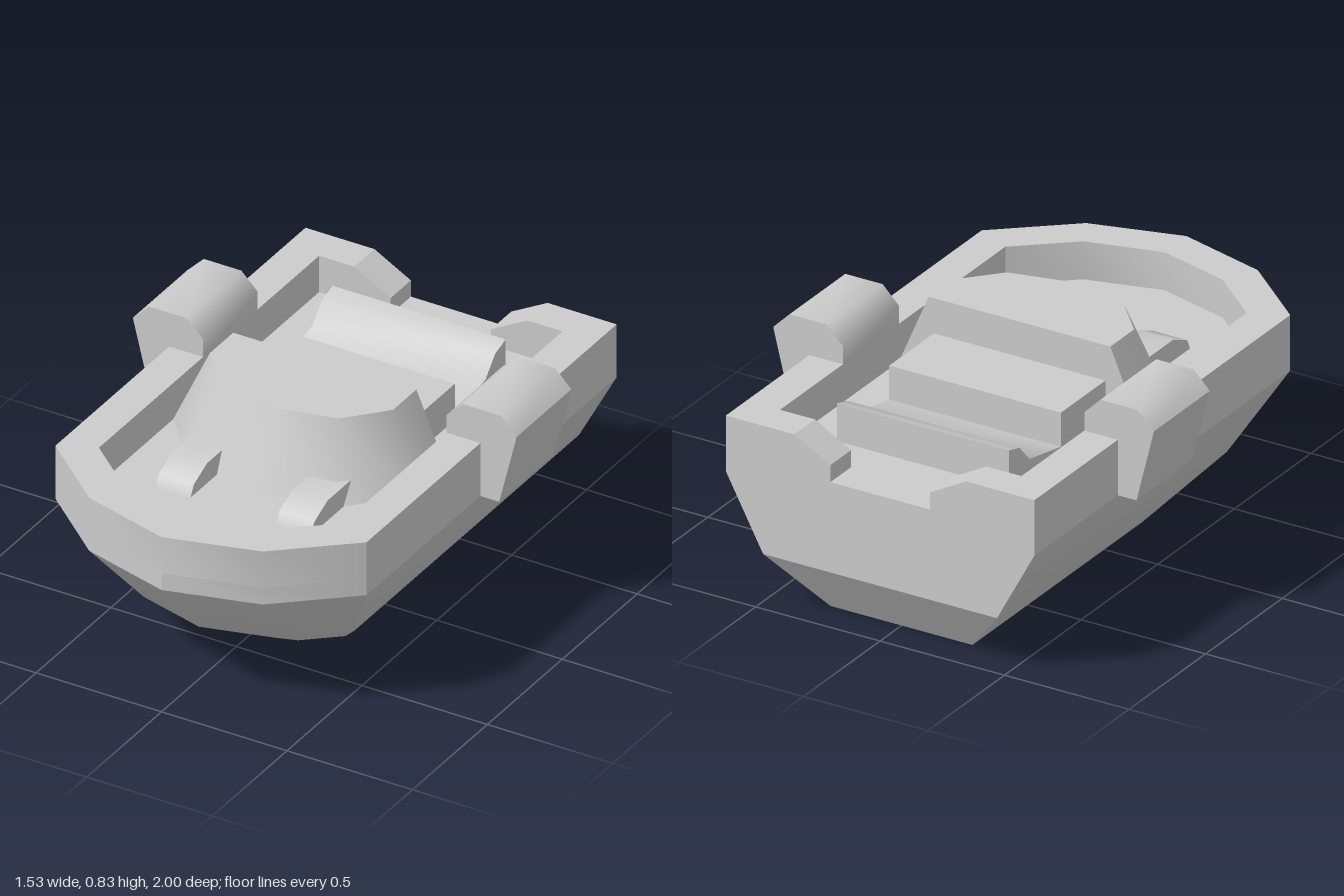
import * as THREE from 'three';
import { toCreasedNormals } from 'three/addons/utils/BufferGeometryUtils.js';

const RAIL = 0.7, DECK = 0.555;
const material = new THREE.MeshStandardMaterial({ color: 0xcccccc });

function part(name, geometry, crease = 0.8) {
  const mesh = new THREE.Mesh(toCreasedNormals(geometry, crease), material);
  mesh.name = name;
  return mesh;
}

// Boat-shaped plan outline as [x, z], from one stern corner round the bow to the other
function outline(w, stern, side, xm, zm, bow) {
  return [[w, stern], [w, side], [xm, zm], [0, bow], [-xm, zm], [-w, side], [-w, stern]];
}

// Closed solid through a stack of outlines: rings = [[y, outline], ...] from low to high
function loft(rings) {
  const n = rings[0][1].length, positions = [], index = [];
  for (const [y, points] of rings) for (const [x, z] of points) positions.push(x, y, z);
  for (let r = 0; r < rings.length - 1; r++) {
    for (let j = 0; j < n; j++) {
      const a = r * n + j, b = r * n + (j + 1) % n;
      index.push(a, a + n, b + n, a, b + n, b);
    }
  }
  const top = (rings.length - 1) * n;
  for (let k = 1; k < n - 1; k++) {
    index.push(0, k, k + 1, top, top + k + 1, top + k);
  }
  const g = new THREE.BufferGeometry();
  g.setAttribute('position', new THREE.Float32BufferAttribute(positions, 3));
  g.setIndex(index);
  return g;
}

function extrude(points, depth) {
  const shape = new THREE.Shape(points.map(([x, y]) => new THREE.Vector2(x, y)));
  return new THREE.ExtrudeGeometry(shape, { depth, bevelEnabled: false });
}

// Prism along z from an [x, y] profile
const prismZ = (profile, z0, z1) => extrude(profile, z1 - z0).translate(0, 0, z0);

// Prism along x from a [z, y] profile
const prismX = (profile, x0, x1) =>
  extrude(profile.map(([z, y]) => [-z, y]), x1 - x0).rotateY(Math.PI / 2).translate(x0, 0, 0);

export function createModel() {
  const boat = new THREE.Group();
  boat.name = 'boat';

  // Hull up to deck level
  const rim = outline(0.62, -1, 0.67, 0.345, 0.905, 1);
  boat.add(part('hull', loft([
    [0, outline(0.285, -0.86, 0.25, 0.16, 0.357, 0.4)],
    [0.21, outline(0.47, -1, 0.5, 0.262, 0.678, 0.75)],
    [0.488, rim],
    [DECK, rim],
  ]), 0.45));

  // Bulwark: a U in plan, open at the stern
  const inner = outline(0.485, -0.865, 0.605, 0.28, 0.78, 0.855);
  const plan = [[0.345, -1], ...rim, [-0.345, -1], [-0.345, -0.865], ...inner.reverse(), [0.345, -0.865]];
  boat.add(part('bulwark',
    extrude(plan.map(([x, z]) => [x, -z]), RAIL - DECK).rotateX(-Math.PI / 2).translate(0, DECK, 0)));

  // Cabin with sloping front and sides and an upright back
  boat.add(part('cabin', loft([
    [DECK, outline(0.485, -0.09, 0.11, 0.3, 0.315, 0.385)],
    [0.835, outline(0.365, -0.09, 0.065, 0.235, 0.21, 0.265)],
  ])));

  // Raised hatch behind the cabin
  boat.add(part('hatch', prismX([[-0.09, DECK], [-0.38, DECK], [-0.38, RAIL], [-0.09, RAIL]], -0.345, 0.345)));

  // Stern bench with a sloping back
  boat.add(part('bench', prismX([
    [-0.38, DECK], [-0.72, DECK], [-0.72, RAIL], [-0.65, 0.68], [-0.585, 0.61], [-0.38, 0.57],
  ], -0.345, 0.345)));

  for (const s of [1, -1]) {
    const side = s > 0 ? 'left' : 'right';
    const mirror = (profile) => profile.map(([x, y]) => [s * x, y]);

    // Chamfered ends of the stern opening
    boat.add(part(side + 'SternRail', prismZ(mirror([
      [0.345, DECK], [0.345, RAIL], [0.2, 0.62], [0.2, DECK],
    ]), -1, -0.865)));

    // Fender box hung over the rail
    boat.add(part(side + 'Fender', prismZ(mirror([
      [0.6, 0.488], [0.695, 0.488], [0.765, 0.77], [0.7, 0.835],
      [0.55, 0.835], [0.485, 0.77], [0.485, RAIL], [0.6, RAIL],
    ]), -0.455, -0.09)));

    // Foredeck block running back into the cabin front
    const x0 = s > 0 ? 0.17 : -0.31;
    boat.add(part(side + 'DeckBlock', prismX([
      [0.52, DECK], [0.5, 0.595], [0.41, 0.635], [0.25, 0.635], [0.25, DECK],
    ], x0, x0 + 0.14)));
  }
  return boat;
}
